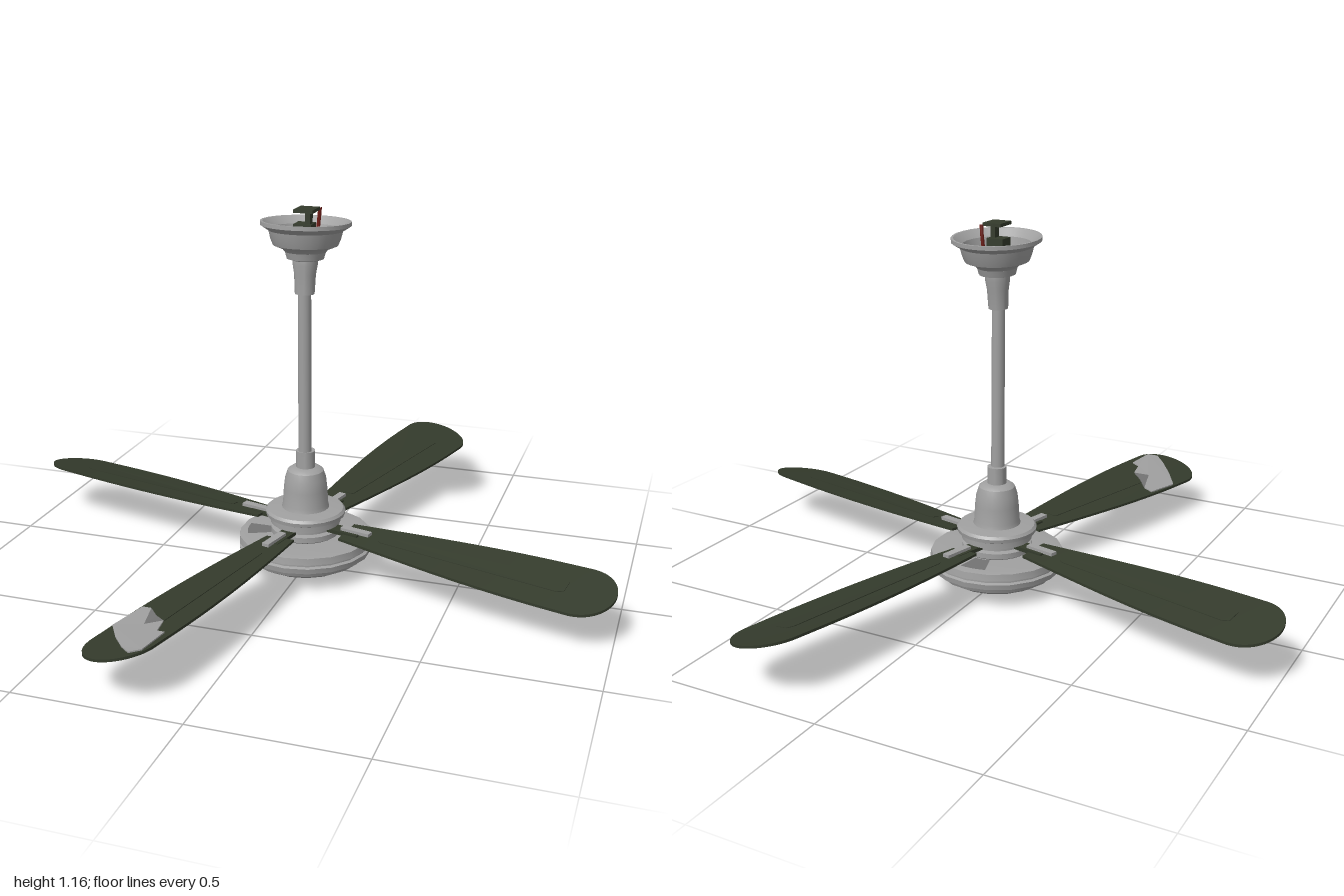
import * as THREE from 'three';
import { toCreasedNormals } from 'three/addons/utils/BufferGeometryUtils.js';

const mat = (name, color, side = THREE.FrontSide) => {
  const m = new THREE.MeshStandardMaterial({ color, side });
  m.name = name;
  return m;
};

export function createModel() {
  const enamel = mat('light grey enamel', 0xa0a0a0);
  const worn = mat('dark grey', 0x747474);
  const green = mat('dark green', 0x343b2c);
  const red = mat('red wire', 0x6e1c16);

  const model = new THREE.Group();
  model.name = 'ceilingFan';

  const add = (parent, name, geometry, material, x = 0, y = 0, z = 0) => {
    const mesh = new THREE.Mesh(geometry, material);
    mesh.name = name;
    mesh.position.set(x, y, z);
    parent.add(mesh);
    return mesh;
  };
  // Turned part from [radius, height] pairs, listed upward on the outside
  const turned = (profile, sides = 24) => toCreasedNormals(
    new THREE.LatheGeometry(profile.map(([r, y]) => new THREE.Vector2(r, y)), sides), 0.6);

  // Motor: lower dish, neck with upper plate, bell cap
  add(model, 'lowerDish', turned([
    [0, 0.004], [0.06, 0.004], [0.065, 0], [0.1, 0.007], [0.15, 0.025], [0.185, 0.045],
    [0.192, 0.062], [0.21, 0.066], [0.213, 0.083], [0.204, 0.087], [0.204, 0.092],
    [0.213, 0.096], [0.21, 0.117], [0.19, 0.12], [0.1, 0.12], [0, 0.12],
  ], 18), enamel);
  add(model, 'motorNeck', turned([
    [0.1, 0.118], [0.11, 0.125], [0.11, 0.142], [0.095, 0.146], [0.095, 0.156], [0.112, 0.16],
    [0.112, 0.178], [0.125, 0.184], [0.127, 0.196], [0.12, 0.204], [0.08, 0.208], [0, 0.208],
  ]), enamel);
  add(model, 'motorCap', turned([
    [0.076, 0.205], [0.072, 0.22], [0.069, 0.27], [0.065, 0.305], [0.057, 0.33], [0.045, 0.339],
    [0.03, 0.341], [0.03, 0.395], [0, 0.395],
  ]), enamel);
  // Worn areas on the top of the dish
  for (const start of [Math.PI * 1.0, Math.PI * 0.45]) {
    const wear = new THREE.RingGeometry(0.11, 0.185, 6, 1, start, 0.45).rotateX(-Math.PI / 2);
    add(model, 'dishWear', wear, worn, 0, 0.1215, 0);
  }

  // Hanging rod, leaning very slightly
  const rod = add(model, 'rod', new THREE.CylinderGeometry(0.02, 0.021, 0.56, 16), enamel, 0, 0.65, 0.008);
  rod.rotation.x = 0.008;

  // Ceiling canopy, open at the top
  const canopy = new THREE.Group();
  canopy.name = 'canopy';
  canopy.position.y = 1.08;
  canopy.rotation.x = -0.05;
  model.add(canopy);
  add(canopy, 'canopyBowl', turned([
    [0.062, -0.052], [0.07, -0.043], [0.098, -0.032], [0.106, -0.012], [0.112, 0.012], [0.128, 0.022],
    [0.137, 0.028], [0.137, 0.04], [0.13, 0.04], [0.105, 0.018], [0.096, -0.02], [0.06, -0.036], [0, -0.036],
  ], 28), enamel);
  add(canopy, 'canopyStem', turned([
    [0, -0.18], [0.03, -0.18], [0.033, -0.12], [0.038, -0.09], [0.038, -0.078], [0.056, -0.073],
    [0.062, -0.052], [0, -0.052],
  ]), enamel);

  // Hanging bracket and wire inside the canopy
  const bracket = new THREE.Group();
  bracket.name = 'bracket';
  model.add(bracket);
  add(bracket, 'bracketBlock', new THREE.BoxGeometry(0.055, 0.07, 0.05), green, 0, 1.08, 0.01);
  add(bracket, 'bracketPost', new THREE.BoxGeometry(0.016, 0.05, 0.025), green, 0.015, 1.135, 0.015);
  add(bracket, 'bracketPlate', new THREE.BoxGeometry(0.06, 0.01, 0.07), green, 0.008, 1.156, 0.015);
  const wirePath = new THREE.CatmullRomCurve3([[0.012, 1.07, -0.01], [0.025, 1.08, -0.03],
    [0.03, 1.12, -0.036], [0.034, 1.158, -0.034]].map((p) => new THREE.Vector3(...p)));
  add(bracket, 'wire', new THREE.TubeGeometry(wirePath, 10, 0.006, 6), red);

  // Blades: u runs outward, v across; the pitch grows towards the tip
  const rootU = 0.15, tipU = 1.025;
  const pitch = (u, v) => -v * (0.08 + 0.14 * u);
  const halfWidth = (u) => {
    const w = 0.05 + 0.057 * Math.sin(Math.min(1, (u - rootU) / 0.7) * Math.PI / 2);
    const e = Math.max(0, (u - 0.92) / (tipU - 0.92));
    return w * Math.sqrt(Math.max(0.0004, 1 - e * e));
  };
  const bladeBox = new THREE.BoxGeometry(1, 0.008, 2, 36, 1, 8);
  const p = bladeBox.attributes.position;
  for (let i = 0; i < p.count; i++) {
    const u = rootU + (tipU - rootU) * Math.sin((p.getX(i) + 0.5) * Math.PI / 2);
    const v = p.getZ(i) * halfWidth(u);
    p.setXYZ(i, u, p.getY(i) + pitch(u, v), v);
  }
  const bladeGeo = toCreasedNormals(bladeBox, 0.6);

  // Thin plate lying on a blade, outlined by [u, v] pairs
  const plate = (outline, height, depth) => {
    const shape = new THREE.Shape(outline.map(([u, v]) => new THREE.Vector2(u, -v)));
    const geo = new THREE.ExtrudeGeometry(shape, { depth, bevelEnabled: false }).rotateX(-Math.PI / 2);
    const q = geo.attributes.position;
    for (let i = 0; i < q.count; i++) q.setY(i, q.getY(i) + height + pitch(q.getX(i), q.getZ(i)));
    geo.computeVertexNormals();
    return geo;
  };
  const rib = [[0.27, -0.012], [0.28, -0.018], [0.86, -0.032], [0.88, -0.022],
    [0.88, 0.022], [0.86, 0.032], [0.28, 0.018], [0.27, 0.012]];
  const ribGeo = plate(rib, 0.003, 0.003);
  const ribUnderGeo = plate(rib, -0.006, 0.003);

  const rotor = new THREE.Group();
  rotor.name = 'rotor';
  rotor.position.y = 0.15;
  rotor.rotation.set(0.013, 0, -0.005);
  model.add(rotor);
  for (let k = 0; k < 4; k++) {
    const arm = new THREE.Group();
    arm.name = 'bladeArm';
    arm.rotation.y = -THREE.MathUtils.degToRad(13.5 + 90 * k);
    rotor.add(arm);
    add(arm, 'blade', bladeGeo, green);
    add(arm, 'bladeRib', ribGeo, green);
    add(arm, 'bladeRibUnderside', ribUnderGeo, green);
    add(arm, 'bladeHolder', new THREE.BoxGeometry(0.12, 0.012, 0.045), green, 0.14, 0.002, 0);
    add(arm, 'bladeClip', new THREE.BoxGeometry(0.1, 0.01, 0.024), enamel, 0.185, 0.012, 0);
    if (k === 1) {
      // Bare patch near the tip of one blade
      add(arm, 'barePatch', plate([[0.713, 0.096], [0.716, 0.062], [0.813, 0.011], [0.781, -0.031],
        [0.842, -0.056], [0.845, -0.084], [0.953, -0.094], [0.976, -0.066], [0.949, -0.022],
        [0.898, 0.041], [0.836, 0.103]], 0.004, 0.004), enamel);
      add(arm, 'patchEdge', plate([[0.716, 0.062], [0.757, 0.012], [0.781, -0.031], [0.813, 0.011]],
        0.004, 0.004), worn);
    }
  }
  return model;
}
